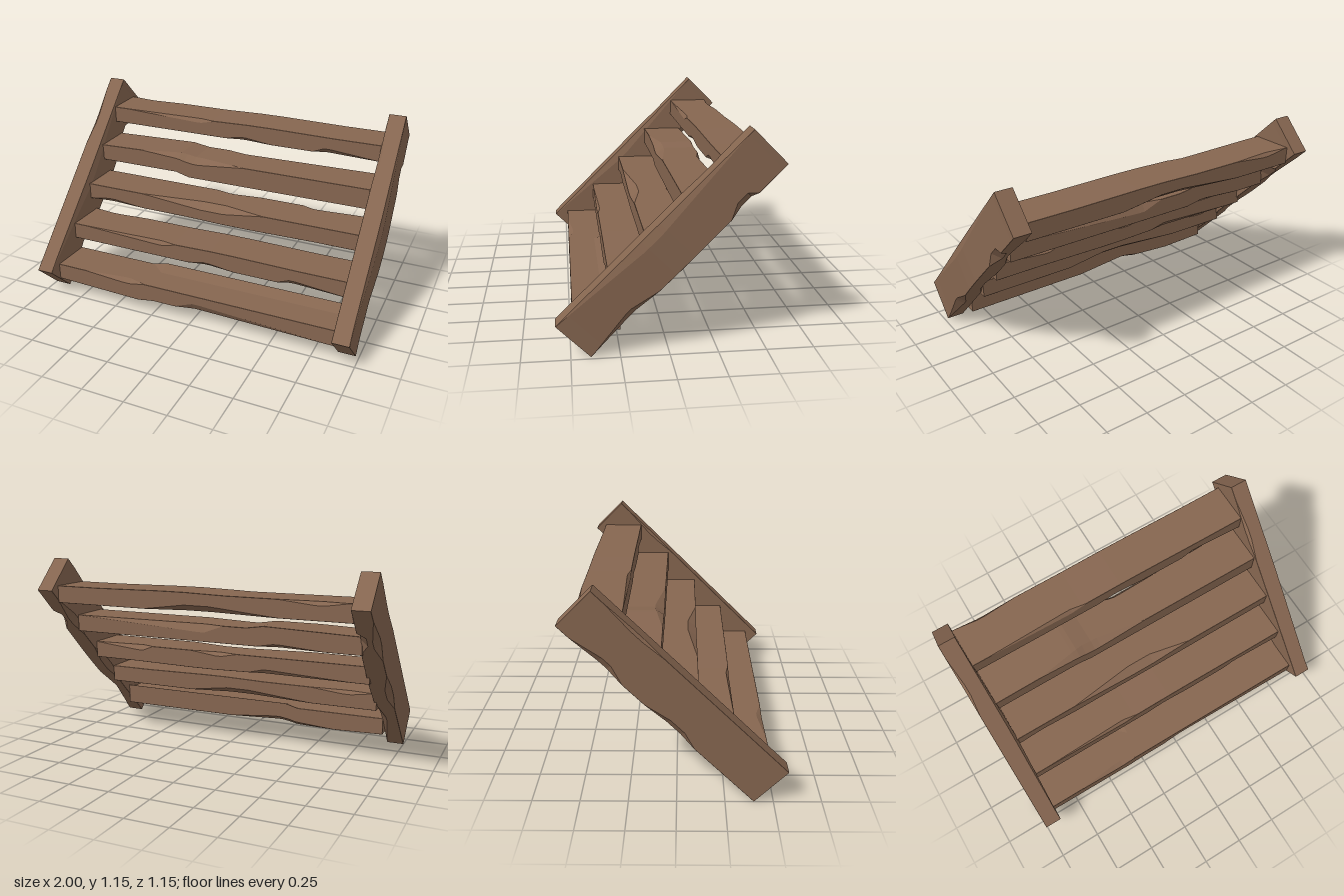
import * as THREE from 'three';

const wood = new THREE.MeshStandardMaterial({ color: 0x866650, flatShading: true });
wood.name = 'brown wood';

// Trapezoid bump: rises a..b, holds b..c, falls c..d
function bump(t, [a, b, c, d]) {
  if (t <= a || t >= d) return 0;
  if (t < b) return (t - a) / (b - a);
  return t > c ? (d - t) / (d - c) : 1;
}

// Hewn beam along x. swells: [side, a, b, c, d, amount]; chips: [corner, a, b, c, d, depthY, depthZ]
function beam(x0, x1, height, depth, swells, chips) {
  const stops = new Set([x0, x1]);
  for (const f of [...swells, ...chips]) {
    f.slice(1, 5).forEach((t) => { if (t > x0 && t < x1) stops.add(t); });
  }
  const stations = [...stops].sort((p, q) => p - q);

  const rings = stations.map((x) => {
    const s = { top: height / 2, bottom: height / 2, front: depth / 2, back: depth / 2 };
    for (const [side, ...f] of swells) s[side] += bump(x, f) * f[4];
    const cut = {};
    for (const k of ['tf', 'bf', 'bb', 'tb']) cut[k] = [0.001, 0.001];
    for (const [corner, ...f] of chips) {
      cut[corner][0] += bump(x, f) * f[4];
      cut[corner][1] += bump(x, f) * f[5];
    }
    const { tf, bf, bb, tb } = cut;
    return [
      [s.top, s.front - tf[1]], [s.top - tf[0], s.front],
      [-s.bottom + bf[0], s.front], [-s.bottom, s.front - bf[1]],
      [-s.bottom, -s.back + bb[1]], [-s.bottom + bb[0], -s.back],
      [s.top - tb[0], -s.back], [s.top, -s.back + tb[1]],
    ].map(([y, z]) => [x, y, z]);
  });

  const pos = [];
  const tri = (a, b, c) => pos.push(...a, ...b, ...c);
  for (let i = 0; i < rings.length - 1; i++) {
    for (let j = 0; j < 8; j++) {
      const k = (j + 1) % 8;
      const [p, q] = [rings[i], rings[i + 1]];
      tri(p[j], p[k], q[k]);
      tri(p[j], q[k], q[j]);
    }
  }
  // End caps
  const first = rings[0];
  const last = rings[rings.length - 1];
  for (let j = 1; j < 7; j++) {
    tri(last[0], last[j], last[j + 1]);
    tri(first[0], first[j + 1], first[j]);
  }
  const geometry = new THREE.BufferGeometry();
  geometry.setAttribute('position', new THREE.Float32BufferAttribute(pos, 3));
  geometry.computeVertexNormals();
  return geometry;
}

export function createModel() {
  const group = new THREE.Group();
  group.name = 'wooden stairs';

  // Sloping side rails, local x runs up the slope and local z is world x
  const railGeometry = beam(-0.687, 0.687, 0.246, 0.1,
    [['front', -0.6, -0.08, 0.05, 0.65, 0.017]],
    [
      ['tf', -0.68, -0.1, 0.02, 0.64, 0.045, 0.014],
      ['bf', -0.66, -0.4, -0.36, -0.2, 0.035, 0.04],
      ['bf', 0.3, 0.38, 0.45, 0.49, 0.04, 0.045],
      ['bb', -0.25, -0.15, -0.05, 0.1, 0.03, 0.03],
      ['bb', 0.25, 0.36, 0.42, 0.6, 0.035, 0.03],
      ['tb', 0.2, 0.34, 0.42, 0.6, 0.012, 0.015],
    ]);
  const r = Math.SQRT1_2;
  const slope = new THREE.Matrix4().makeBasis(
    new THREE.Vector3(0, r, -r), new THREE.Vector3(0, r, r), new THREE.Vector3(1, 0, 0));
  for (const [name, x] of [['rightRail', -0.95], ['leftRail', 0.93]]) {
    const rail = new THREE.Mesh(railGeometry, wood);
    rail.name = name;
    rail.quaternion.setFromRotationMatrix(slope);
    rail.position.set(x, 0.5775, 0);
    group.add(rail);
  }

  // Two plank shapes, each reused turned over
  const ridged = beam(-0.9, 0.88, 0.1, 0.246,
    [['bottom', -0.9, -0.37, -0.34, -0.24, 0.016]],
    [
      ['tb', -0.36, -0.27, 0.9, 1, -0.024, 0.08],
      ['bf', -0.1, 0.02, 0.06, 0.85, 0.045, 0.025],
      ['tf', -0.7, -0.45, -0.4, -0.3, 0.018, 0.03],
      ['bb', -0.6, -0.3, -0.2, 0.1, 0.03, 0.05],
    ]);
  const chipped = beam(-0.9, 0.88, 0.1, 0.246,
    [['top', -0.2, 0.05, 0.2, 0.6, 0.006]],
    [
      ['tf', -0.8, -0.31, -0.27, -0.18, 0.022, 0.015],
      ['bf', 0.47, 0.54, 0.58, 0.88, 0.028, 0.025],
      ['bf', -0.1, 0, 0.04, 0.2, 0.02, 0.02],
      ['bb', -0.5, -0.1, 0.05, 0.3, 0.035, 0.05],
      ['tb', -0.88, -0.75, -0.7, -0.5, 0.02, 0.015],
    ]);
  const treads = [[ridged, 0], [chipped, 0], [chipped, Math.PI], [ridged, Math.PI], [chipped, 0]];
  treads.forEach(([geometry, turn], i) => {
    const tread = new THREE.Mesh(geometry, wood);
    tread.name = `tread${i + 1}`;
    tread.rotation.x = turn;
    tread.position.set(0, 0.15 + 0.2 * i, 0.365 - 0.188 * i);
    group.add(tread);
  });

  return group;
}
